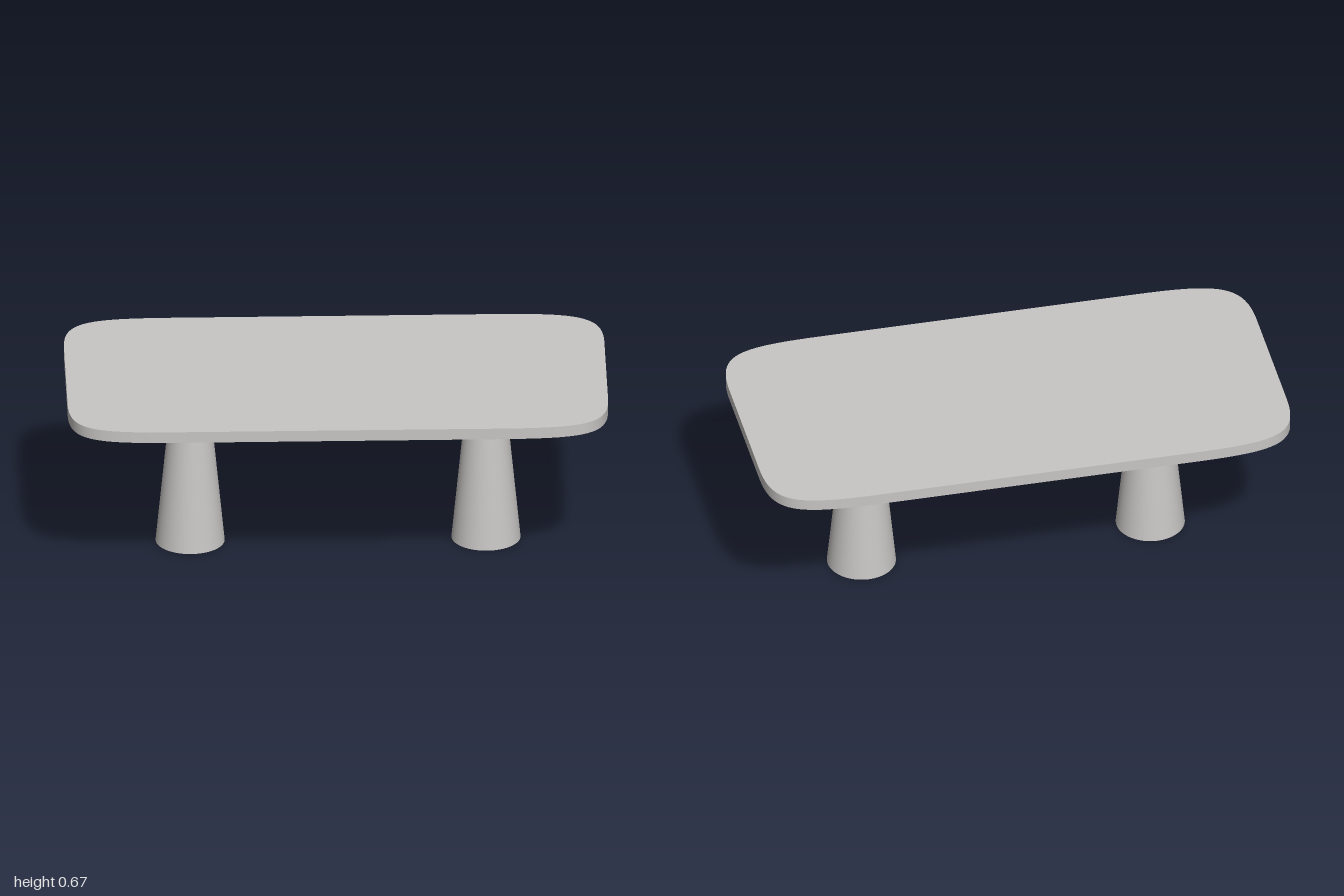
import * as THREE from 'three';
import { toCreasedNormals } from 'three/addons/utils/BufferGeometryUtils.js';

const HALF_X = 1, HALF_Z = 0.505;
const TOP_Y = 0.67, UNDER_Y = 0.627;

// Rectangle with long, soft corners
function topOutline() {
  const s = new THREE.Shape();
  s.moveTo(0.6, -HALF_Z);
  s.bezierCurveTo(0.92, -HALF_Z, HALF_X, -0.47, HALF_X, -0.25);
  s.lineTo(HALF_X, 0.25);
  s.bezierCurveTo(HALF_X, 0.47, 0.92, HALF_Z, 0.6, HALF_Z);
  s.lineTo(-0.6, HALF_Z);
  s.bezierCurveTo(-0.92, HALF_Z, -HALF_X, 0.47, -HALF_X, 0.25);
  s.lineTo(-HALF_X, -0.25);
  s.bezierCurveTo(-HALF_X, -0.47, -0.92, -HALF_Z, -0.6, -HALF_Z);
  s.closePath();
  return s;
}

export function createModel() {
  const group = new THREE.Group();
  group.name = 'table';
  const stone = new THREE.MeshStandardMaterial({ color: 0xc8c6c4 });
  stone.name = 'paleGreyStone';

  // Table top: flat slab with a smooth rim
  const slab = new THREE.ExtrudeGeometry(topOutline(), {
    depth: TOP_Y - UNDER_Y, bevelEnabled: false, curveSegments: 24,
  });
  slab.rotateX(-Math.PI / 2);
  const top = new THREE.Mesh(toCreasedNormals(slab, 0.6), stone);
  top.name = 'tableTop';
  top.position.y = UNDER_Y;
  group.add(top);

  // Two tapered round legs
  const legGeometry = new THREE.CylinderGeometry(0.066, 0.128, UNDER_Y, 64);
  for (const [name, x] of [['leftLeg', 0.555], ['rightLeg', -0.54]]) {
    const leg = new THREE.Mesh(legGeometry, stone);
    leg.name = name;
    leg.position.set(x, UNDER_Y / 2, 0.003);
    group.add(leg);
  }
  return group;
}
